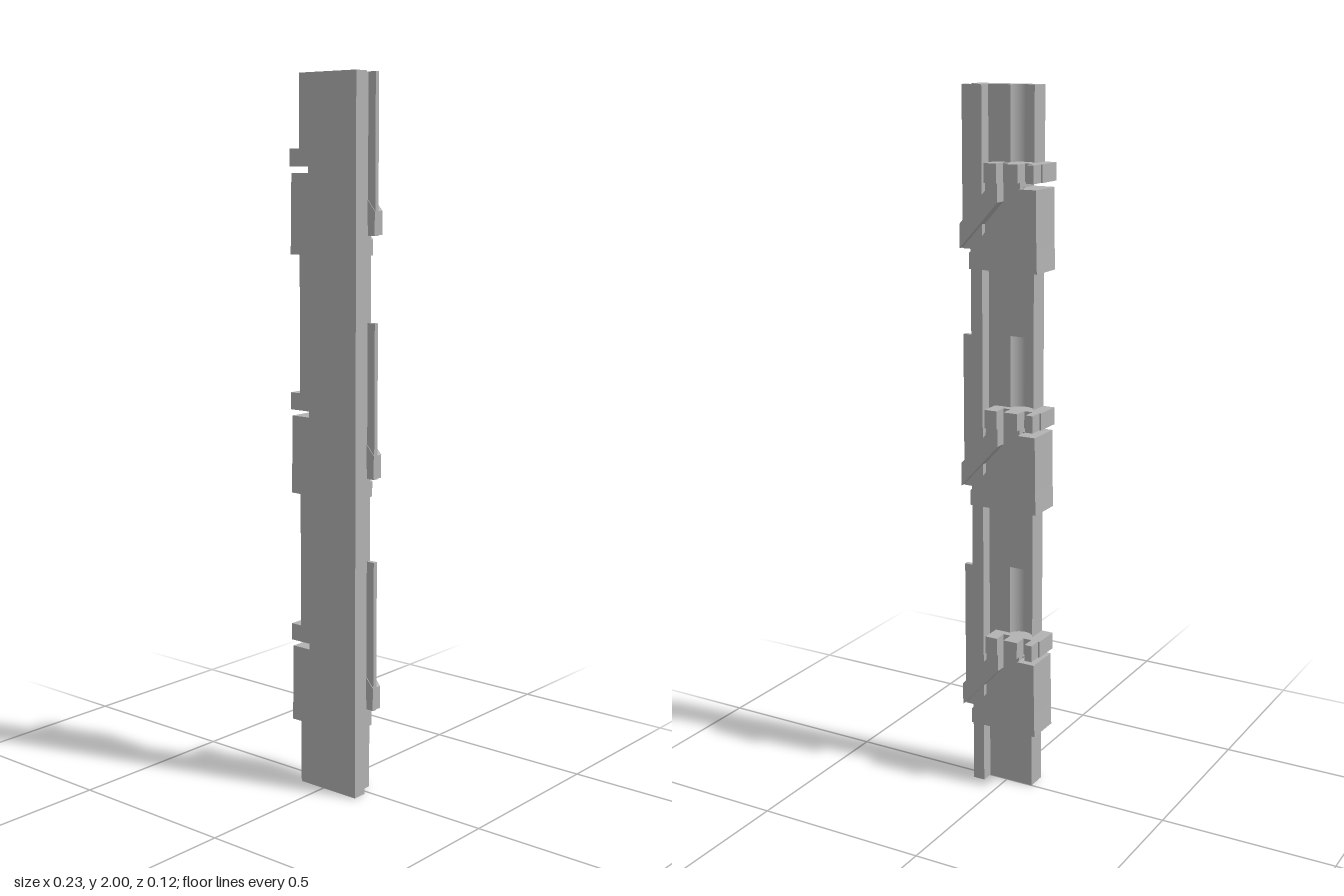
import * as THREE from 'three';

const grey = new THREE.MeshStandardMaterial({ color: 0xb2b2b2 });
grey.name = 'plain grey';

const UNIT = 2 / 3; // the rail repeats three times along its height
const FRONT = 0.059;

function add(parent, name, geometry) {
  const mesh = new THREE.Mesh(geometry, grey);
  mesh.name = name;
  parent.add(mesh);
}

// Cross-section of the rail, drawn in x and -z
function railShape({ flange, pocket, left = -0.082 }) {
  const s = new THREE.Shape();
  s.moveTo(left, -FRONT);
  s.lineTo(0.117, -FRONT);
  s.lineTo(0.117, -0.016);
  s.lineTo(0.092, -0.016);
  if (flange) {
    s.lineTo(0.092, 0.022);
    s.lineTo(0.117, 0.022);
    s.lineTo(0.117, 0.036);
  } else {
    s.lineTo(0.092, 0.036);
  }
  s.lineTo(0.057, 0.036);
  s.lineTo(0.057, 0);
  if (pocket) {
    // shallow round channel in the back
    const r = 0.0379, cy = 0.0119, a = Math.asin(cy / r);
    s.lineTo(-0.01, 0);
    s.absarc(-0.046, cy, r, -a, -Math.PI + a, true);
  } else {
    s.lineTo(left, 0);
  }
  s.closePath();
  return s;
}

// Extrude a cross-section upwards from y0 to y1
function slab(shape, y0, y1) {
  const g = new THREE.ExtrudeGeometry(shape, { depth: y1 - y0, bevelEnabled: false, curveSegments: 20 });
  return g.rotateX(-Math.PI / 2).translate(0, y0, 0);
}

// Extrude an x-y outline from z0 to z1
function plate(points, z0, z1) {
  const s = new THREE.Shape(points.map(([x, y]) => new THREE.Vector2(x, y)));
  return new THREE.ExtrudeGeometry(s, { depth: z1 - z0, bevelEnabled: false }).translate(0, 0, z0);
}

function box(x0, x1, y0, y1, z0, z1) {
  return new THREE.BoxGeometry(x1 - x0, y1 - y0, z1 - z0)
    .translate((x0 + x1) / 2, (y0 + y1) / 2, (z0 + z1) / 2);
}

function createSection() {
  const g = new THREE.Group();

  // Rail, from bottom to top
  add(g, 'railFoot', slab(railShape({}), 0, 0.235));
  add(g, 'railLower', slab(railShape({ flange: true }), 0.235, 0.402));
  add(g, 'railSlit', slab(railShape({ flange: true, left: -0.05 }), 0.402, 0.419));
  add(g, 'railUpper', slab(railShape({ flange: true }), 0.419, 0.467));
  add(g, 'railChannel', slab(railShape({ flange: true, pocket: true }), 0.467, UNIT));

  // Side tab below and above the slit
  add(g, 'lowerTab', plate([
    [-0.115, 0.182], [-0.082, 0.182], [-0.082, 0.402], [-0.111, 0.402], [-0.113, 0.25],
  ], -0.045, FRONT));
  add(g, 'upperTab', box(-0.117, -0.082, 0.419, 0.467, -0.02, FRONT));

  // Thin base behind the clip
  add(g, 'clipBase', plate([[-0.05, 0.3], [0.057, 0.22], [0.057, 0.39], [0.037, 0.467], [-0.05, 0.467]], -0.02, 0));
  add(g, 'clipBaseSide', box(-0.09, -0.05, 0.419, 0.467, -0.02, 0));

  // Block with its sloping shoulder
  add(g, 'clipBlock', plate([
    [-0.09, 0.182], [0.092, 0.182], [0.092, 0.225], [-0.058, 0.402], [-0.09, 0.402],
  ], -0.045, 0));

  // Teeth along the top edge
  add(g, 'sideTooth', box(-0.112, -0.09, 0.419, 0.467, -0.06, -0.02));
  add(g, 'middleTooth', box(-0.065, -0.022, 0.419, 0.467, -0.06, -0.02));
  add(g, 'innerTooth', box(0, 0.037, 0.415, 0.467, -0.06, -0.02));

  // Sloping arm that crosses the rail
  add(g, 'slopingArm', plate([
    [0, 0.365], [0.117, 0.237], [0.117, 0.302], [0.037, 0.395], [0.037, 0.42], [0, 0.42],
  ], -0.053, -0.02));
  return g;
}

export function createModel() {
  const model = new THREE.Group();
  model.name = 'slottedRail';
  for (let i = 0; i < 3; i++) {
    const section = createSection();
    section.name = 'railSection' + (i + 1);
    section.position.y = i * UNIT;
    model.add(section);
  }
  return model;
}
